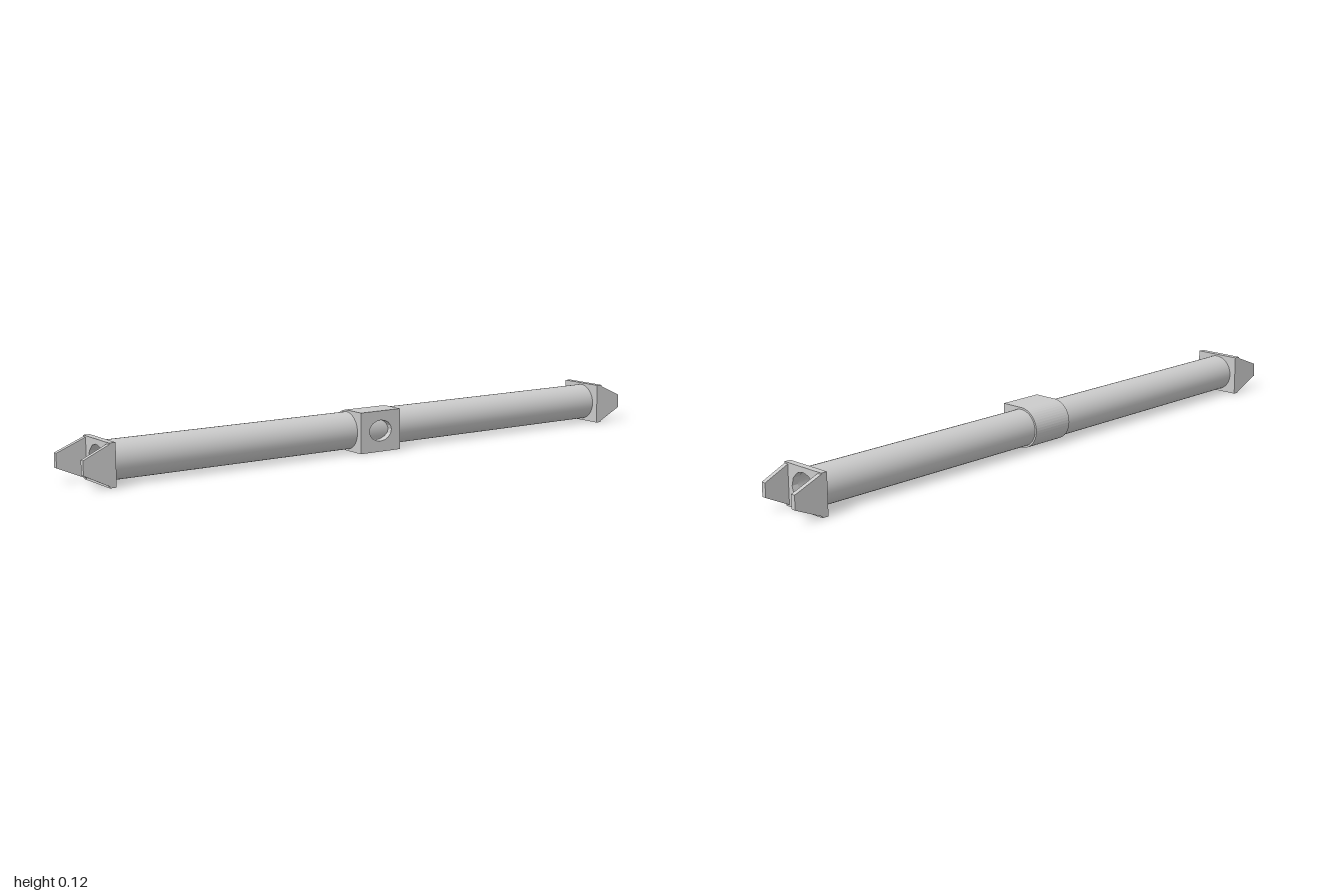
import * as THREE from 'three';

const MID = 0.0625;     // height of the tube axis
const OUTER = 0.057, BORE = 0.048;

function add(parent, name, geometry) {
  const smooth = name === 'tube';
  const mesh = new THREE.Mesh(geometry, new THREE.MeshStandardMaterial({ color: 0xcccccc, flatShading: !smooth }));
  mesh.name = name;
  parent.add(mesh);
  return mesh;
}

const polygon = (pts) => new THREE.Shape(pts.map(([x, y]) => new THREE.Vector2(x, y)));

function extrude(shape, depth, curveSegments = 8) {
  return new THREE.ExtrudeGeometry(shape, { depth, curveSegments, bevelEnabled: false });
}

// Profile drawn in (z, y), extruded along +x from x0
function sidePlate(shape, x0, x1) {
  return extrude(shape, x1 - x0).rotateY(-Math.PI / 2).translate(x1, 0, 0);
}

// Open tube along z
function tube() {
  const h = 0.892;
  const shell = [[BORE, -h], [OUTER, -h], [OUTER, -h], [OUTER, h], [OUTER, h], [BORE, h], [BORE, h], [BORE, -h]];
  return new THREE.LatheGeometry(shell.map(([r, y]) => new THREE.Vector2(r, y)), 40)
    .rotateX(Math.PI / 2).translate(0, MID, 0);
}

// Forked end: bored flange with two tapering cheeks, facing +z
function fork() {
  const group = new THREE.Group();
  const flange = polygon([[-0.077, 0], [0.077, 0], [0.077, 0.125], [-0.077, 0.125]]);
  const bore = new THREE.Path();
  bore.absarc(0, MID, BORE, 0, Math.PI * 2, true);
  flange.holes.push(bore);
  add(group, 'forkFlange', extrude(flange, 0.02, 6).translate(0, 0, 0.89));

  const cheek = (tip) => polygon([[0.9, 0], [tip, 0.043], [tip, 0.085], [0.9, 0.125]]);
  add(group, 'forkCheekRight', sidePlate(cheek(1), -0.077, -0.063));
  add(group, 'forkCheekLeft', sidePlate(cheek(0.988), 0.063, 0.077));
  return group;
}

// Middle collar: round on one side, flat drilled boss on the other
function collar() {
  const group = new THREE.Group();
  group.name = 'collar';
  const half = 0.073, seam = 0.05;
  const angle = Math.acos(seam / (OUTER - 0.001));
  const band = new THREE.Shape();
  band.moveTo(seam, MID * 2);
  band.lineTo(0, MID * 2);
  band.absarc(0, MID, MID, Math.PI / 2, Math.PI * 1.5, false);
  band.lineTo(seam, 0);
  band.absarc(0, MID, OUTER - 0.001, -angle, angle - Math.PI * 2, true);
  add(group, 'collarBand', extrude(band, half * 2, 12).translate(0, 0, -half));

  const boss = polygon([[-half, 0], [half, 0], [half, MID * 2], [-half, MID * 2]]);
  const hole = new THREE.Path();
  hole.absellipse(0, MID + 0.002, 0.041, 0.032, 0, Math.PI * 2, true, 0);
  boss.holes.push(hole);
  add(group, 'collarBoss', sidePlate(boss, seam, 0.074));
  return group;
}

export function createModel() {
  const model = new THREE.Group();
  model.name = 'connectingRod';
  add(model, 'tube', tube());
  model.add(collar());

  // Forks at both ends, the rear one mirrored in z
  for (const side of [1, -1]) {
    const end = fork();
    end.name = side > 0 ? 'frontFork' : 'rearFork';
    end.scale.z = side;
    model.add(end);
  }
  return model;
}
